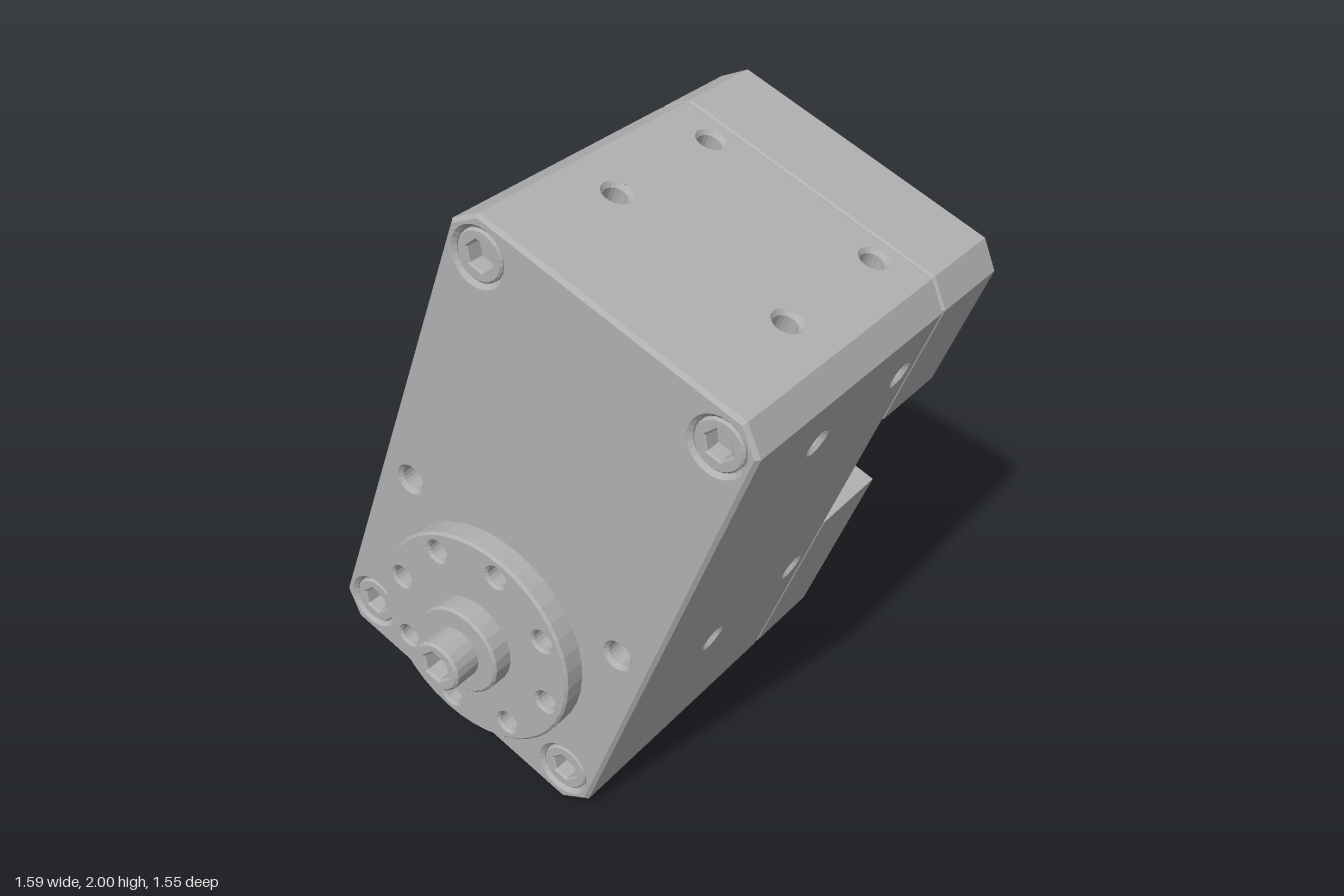
import * as THREE from 'three';

const W = 0.54, H = 0.892, C = 0.076;      // half width, half height, corner chamfer
const metal = new THREE.MeshStandardMaterial({ color: 0xb0b0b0, flatShading: true });
metal.name = 'grey metal';

const mirror4 = (x, y) => [[x, y], [-x, y], [-x, -y], [x, -y]];
const circle = (x, y, r, n = 20) => Array.from({ length: n }, (_, i) => {
  const a = (i / n) * Math.PI * 2;
  return [x + r * Math.cos(a), y + r * Math.sin(a)];
});
const vectors = (pts) => pts.map(([x, y]) => new THREE.Vector2(x, y));

function outline(pts, holes = []) {
  const shape = new THREE.Shape(vectors(pts));
  for (const h of holes) shape.holes.push(new THREE.Path(vectors(h)));
  return shape;
}

// Chamfered rectangle, counter-clockwise
const octagon = (inset = 0) => {
  const w = W - inset, h = H - inset;
  return [[w, -h + C], [w, h - C], [w - C, h], [-w + C, h],
    [-w, h - C], [-w, -h + C], [-w + C, -h], [w - C, -h]];
};

export function createModel() {
  const model = new THREE.Group();
  const actuator = new THREE.Group();
  actuator.name = 'actuator';
  actuator.position.y = 1;
  actuator.rotation.z = THREE.MathUtils.degToRad(-20.75);
  model.add(actuator);

  const add = (name, geometry) => {
    const mesh = new THREE.Mesh(geometry, metal);
    mesh.name = name;
    actuator.add(mesh);
    return mesh;
  };

  // Plate between two z levels with chamfered rims and holes
  const slab = (name, pts, holes, z0, z1, b = 0) => {
    const g = new THREE.ExtrudeGeometry(outline(pts, holes), {
      depth: z1 - z0 - 2 * b, bevelEnabled: b > 0, bevelThickness: b,
      bevelSize: b, bevelOffset: -b, bevelSegments: 1,
    });
    return add(name, g.translate(0, 0, z0 + b));
  };
  const floor = (name, x, y, z, r) =>
    add(name, new THREE.CircleGeometry(r, 20).translate(x, y, z));

  const corners = mirror4(0.423, 0.768);
  const dowels = [[0.424, -0.15], [-0.424, -0.15]];

  // Front plate with screw bores and threaded holes
  slab('frontPlate', octagon(), [
    ...corners.map(([x, y]) => circle(x, y, 0.084, 24)),
    ...dowels.map(([x, y]) => circle(x, y, 0.04)),
  ], 0.41, 0.53, 0.012);
  for (const [x, y] of dowels) floor('threadedHoleFloor', x, y, 0.415, 0.06);

  // Socket head screws in the corners
  for (const [x, y] of corners) {
    floor('screwBoreFloor', x, y, 0.425, 0.1);
    slab('cornerScrew', circle(x, y, 0.081, 24), [circle(x, y, 0.046, 6)], 0.42, 0.524, 0.006);
    floor('screwSocketFloor', x, y, 0.47, 0.06);
  }

  // Side walls, with blind mounting holes in the four long faces
  const Z0 = -0.437, Z1 = 0.518, pts = octagon();
  const pit = new THREE.LatheGeometry(
    vectors([[0.05, 0], [0.038, -0.014], [0.038, -0.11], [0, -0.11]]), 18).rotateX(Math.PI / 2);
  const levels = { 0: [0.613, -0.307], 2: [0.307, -0.307], 4: [0.307, -0.613], 6: [0.307, -0.307] };
  pts.forEach(([x0, y0], i) => {
    const [x1, y1] = pts[(i + 1) % 8];
    const half = Math.hypot(x1 - x0, y1 - y0) / 2;
    const t = new THREE.Vector3(x1 - x0, y1 - y0, 0).normalize();
    const n = new THREE.Vector3(t.y, -t.x, 0);
    const place = new THREE.Matrix4().makeBasis(t, new THREE.Vector3(0, 0, 1), n)
      .setPosition((x0 + x1) / 2, (y0 + y1) / 2, 0);
    const spots = [];
    for (const s of levels[i] || []) {
      spots.push([s, 0.107]);
      if (i !== 6) spots.push([s, -0.353]);   // the bottom has only the front pair
    }
    const rect = [[-half, Z0], [half, Z0], [half, Z1], [-half, Z1]];
    add('bodyWall', new THREE.ShapeGeometry(
      outline(rect, spots.map(([x, y]) => circle(x, y, 0.05, 18)))).applyMatrix4(place));
    for (const [x, y] of spots) {
      add('mountingHole', pit.clone().translate(x, y, 0).applyMatrix4(place));
    }
  });

  // Rear of the body and the seam to the cap
  slab('bodyRearPlate', octagon(), [], -0.444, -0.42, 0.006);
  slab('seamGasket', octagon(0.014), [], -0.45, -0.43);

  // Output flange with eight holes, hub and shaft
  const cy = -0.455;
  const ring = circle(0, cy, 0.305, 8);
  slab('outputFlange', circle(0, cy, 0.371, 40), ring.map(([x, y]) => circle(x, y, 0.035, 16)),
    0.52, 0.605, 0.008);
  for (const [x, y] of ring) floor('flangeHoleFloor', x, y, 0.535, 0.048);
  slab('outputHub', circle(0, cy, 0.153, 24), [], 0.59, 0.677, 0.008);
  slab('outputShaft', circle(0, cy, 0.086, 20), [circle(0, cy, 0.05, 6)], 0.66, 0.775, 0.008);
  floor('shaftSocketFloor', 0, cy, 0.71, 0.065);

  // Rear cap: two blocks either side of a cable channel
  const back = -0.775, front = -0.45, low = -0.149, high = 0.349;
  const bores = corners.map(([x, y]) => circle(x, y, 0.086, 24));
  slab('upperCap', [
    [W, high], [W, H - C], [W - C, H], [-W + C, H], [-W, H - C], [-W, high],
    [-0.36, high], [-0.36, 0.255], [-0.235, 0.157], [0.235, 0.157], [0.36, 0.255], [0.36, high],
  ], bores.slice(0, 2), back, front, 0.007);
  slab('lowerCap', [
    [-W, low], [-W, -H + C], [-W + C, -H], [W - C, -H], [W, -H + C], [W, low],
  ], bores.slice(2), back, front, 0.007);
  slab('channelFloor', [[-0.36, low - 0.05], [0.36, low - 0.05], [0.36, high + 0.05],
    [-0.36, high + 0.05]], [], -0.64, -0.44);

  // Stepped floors of the rear screw bores
  for (const [x, y] of corners) {
    slab('rearBoreStep', circle(x, y, 0.092, 24), [circle(x, y, 0.05)], -0.64, -0.46);
  }

  // Shallow curved lip on the lower edge of the channel
  const lip = [[-0.21, low - 0.02]];
  for (let i = 0; i <= 10; i++) {
    const x = -0.21 + 0.042 * i;
    lip.push([x, low + 0.055 * (1 - (x / 0.21) ** 2)]);
  }
  lip.push([0.21, low - 0.02]);
  slab('channelLip', lip, [], back + 0.001, -0.735);

  return model;
}
